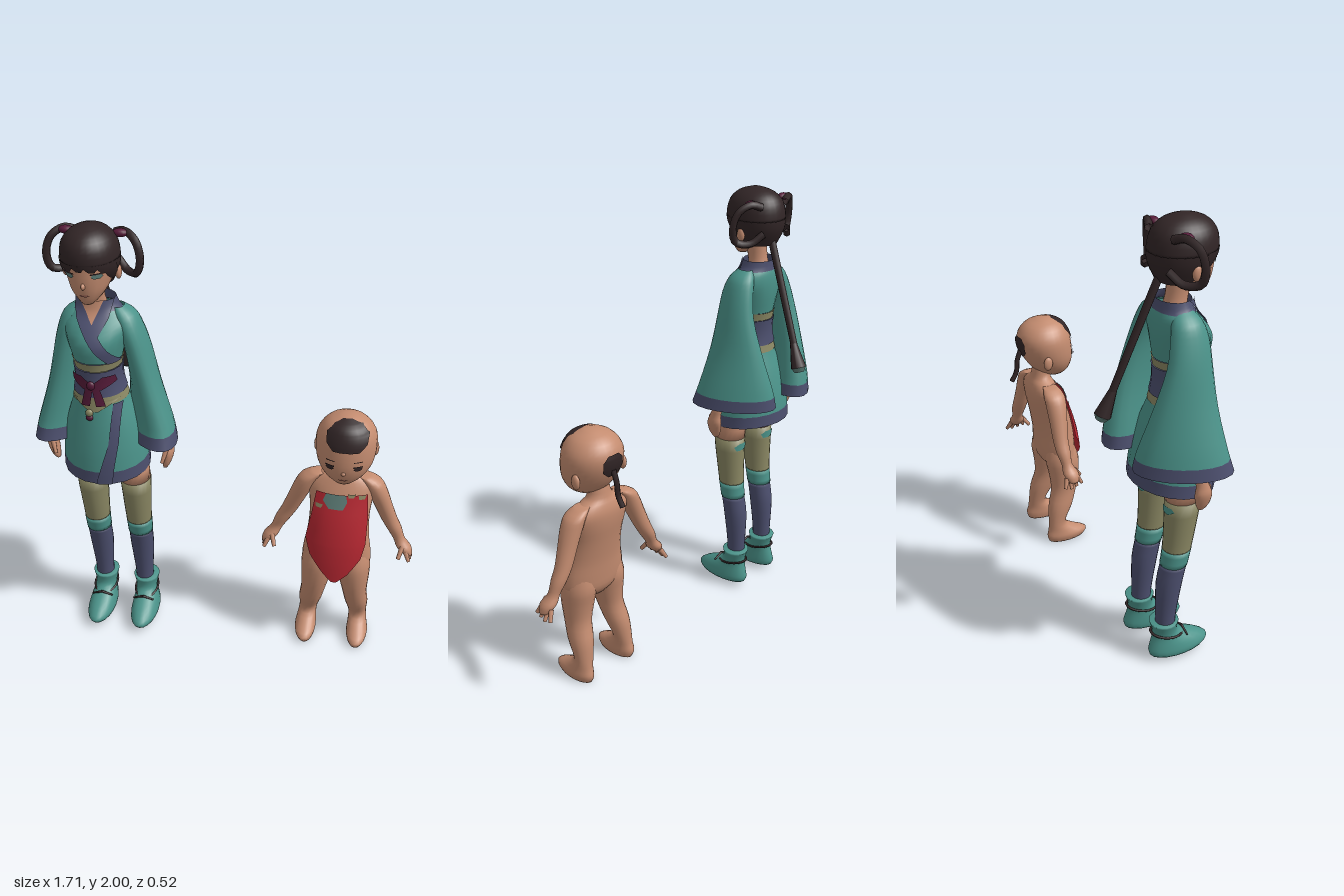
import * as THREE from 'three';

const mat = (name, color, side = THREE.FrontSide) => {
  const m = new THREE.MeshStandardMaterial({ color, side });
  m.name = name;
  return m;
};
const M = {
  skin: mat('skin', 0xc48c70), hair: mat('hair', 0x312526, THREE.DoubleSide),
  teal: mat('teal cloth', 0x4b938a, THREE.DoubleSide), navy: mat('navy trim', 0x4c4f6e, THREE.DoubleSide),
  khaki: mat('khaki cloth', 0x8a8763, THREE.DoubleSide), red: mat('red bib', 0xb62731, THREE.DoubleSide),
  maroon: mat('maroon ribbon', 0x561b39, THREE.DoubleSide), grey: mat('grey green', 0x5d7c76, THREE.DoubleSide),
  lip: mat('lip', 0xa96c5e),
};
const V = (x, y, z) => new THREE.Vector3(x, y, z);

function add(parent, name, geo, material) {
  const mesh = new THREE.Mesh(geo, material);
  mesh.name = name;
  parent.add(mesh);
  return mesh;
}

// A ring is [x, y, z, rx, rz, shear, tilt]; rings run upwards. Catmull-Rom adds rings between.
function smooth(rings, k = 3) {
  const out = [], at = (i, c) => rings[Math.max(0, Math.min(rings.length - 1, i))][c] || 0;
  for (let i = 0; i < rings.length - 1; i++) for (let s = 0; s < k; s++) {
    const t = s / k;
    out.push([0, 1, 2, 3, 4, 5, 6].map(c => {
      const [a, b, d, e] = [at(i - 1, c), at(i, c), at(i + 1, c), at(i + 2, c)];
      return b + 0.5 * t * (d - a + t * (2 * a - 5 * b + 4 * d - e + t * (3 * (b - d) + e - a)));
    }));
  }
  out.push([0, 1, 2, 3, 4, 5, 6].map(c => at(rings.length - 1, c)));
  return out;
}
function ringAt(rings, y) {
  let i = 0;
  while (i < rings.length - 2 && rings[i + 1][1] < y) i++;
  const a = rings[i], b = rings[i + 1];
  const t = Math.max(0, Math.min(1, (y - a[1]) / (b[1] - a[1])));
  return a.map((v, c) => v + (b[c] - v) * t);
}
const slice = (rings, y0, y1) =>
  [ringAt(rings, y0), ...rings.filter(r => r[1] > y0 + 1e-4 && r[1] < y1 - 1e-4), ringAt(rings, y1)];

// Skin over rings, either closed and capped or open over an arc
function loft(rings, { caps = true, a0 = 0, a1 = Math.PI * 2, n = 20, grow = 0 } = {}) {
  const full = a1 - a0 > 6.28, w = full ? n : n + 1, pos = [], idx = [];
  for (const [x, y, z, rx, rz, shear = 0, tilt = 0] of rings) for (let j = 0; j < w; j++) {
    const a = a0 + (a1 - a0) * j / n, dz = (rz + grow) * Math.cos(a);
    pos.push(x + (rx + grow) * Math.sin(a) + shear * dz, y + tilt * Math.cos(a), z + dz);
  }
  const top = rings.length - 1;
  for (let i = 0; i < top; i++) for (let j = 0; j < n; j++) {
    const a = i * w + j, b = i * w + (j + 1) % w;
    idx.push(a, b, b + w, a, b + w, a + w);
  }
  if (caps && full) for (const i of [0, top]) {
    const c = pos.length / 3;
    pos.push(...rings[i].slice(0, 3));
    for (let j = 0; j < n; j++) {
      const a = i * w + j, b = i * w + (j + 1) % n;
      idx.push(c, ...(i ? [a, b] : [b, a]));
    }
  }
  return surface(pos, idx);
}
function surface(pos, idx) {
  const g = new THREE.BufferGeometry();
  g.setAttribute('position', new THREE.Float32BufferAttribute(pos, 3));
  g.setIndex(idx);
  g.computeVertexNormals();
  return g;
}

// Thin plate laid on a lofted surface; rows are [y, dx0, dx1] from top to bottom
function patch(rows, rings, lift = 0.004, sign = 1) {
  const pos = [], idx = [], n = 8, k = 5;
  const count = (rows.length - 1) * k;
  for (let i = 0; i <= count; i++) {
    const q = Math.min(rows.length - 2, Math.floor(i / k)), t = i / k - q;
    const [y, x0, x1] = rows[q].map((v, c) => v + (rows[q + 1][c] - v) * t);
    const r = ringAt(rings, y);
    for (let j = 0; j <= n; j++) {
      const lim = r[3] * 0.985, dx = Math.max(-lim, Math.min(lim, x0 + (x1 - x0) * j / n));
      const c = Math.sqrt(1 - (dx / r[3]) ** 2);
      pos.push(r[0] + dx * (1 + lift / r[3]), y + (r[6] || 0) * c * sign, r[2] + sign * (r[4] * c + lift));
    }
  }
  for (let i = 0; i < count; i++) for (let j = 0; j < n; j++) {
    const a = i * (n + 1) + j, b = a + 1, c = a + n + 1, d = c + 1;
    idx.push(...(sign > 0 ? [a, c, b, b, c, d] : [a, b, c, b, d, c]));
  }
  return surface(pos, idx);
}
function rod(parent, name, a, b, r0, r1, material) {
  const d = b.clone().sub(a);
  const m = add(parent, name, new THREE.CylinderGeometry(r1, r0, d.length(), 8), material);
  m.position.copy(a).addScaledVector(d, 0.5);
  m.quaternion.setFromUnitVectors(V(0, 1, 0), d.normalize());
}
function ball(parent, name, p, sx, sy, sz, material) {
  const m = add(parent, name, new THREE.SphereGeometry(1, 14, 10), material);
  m.position.set(...p);
  m.scale.set(sx, sy, sz);
}
const side = (rings, cx, s) => smooth(rings.map(([x, y, z, rx, rz, sh = 0]) => [cx + s * x, y, z, rx, rz, s * sh, 0]));
const centred = (rings, cx) => smooth(rings.map(([y, z, rx, rz, tilt = 0]) => [cx, y, z, rx, rz, 0, tilt]));
const bands = (parent, rings, list, caps) => list.forEach(([name, y0, y1, m, grow = 0]) =>
  add(parent, name, loft(slice(rings, y0, y1), { caps, grow }), m));

// Eyes, lashes, brows and mouth laid on the face
function face(parent, head, y, ex, w, mouthY, iris) {
  for (const s of [-1, 1]) {
    const x = s * ex;
    add(parent, 'eye', patch([[y + 0.011, x - w * 0.6, x + w * 0.6], [y, x - w, x + w], [y - 0.009, x - w * 0.5, x + w * 0.5]], head), iris);
    add(parent, 'lash', patch([[y + 0.015, x - w, x + w], [y + 0.009, x - w * 1.1, x + w * 1.1]], head, 0.006), M.hair);
    add(parent, 'brow', patch([[y + 0.036, x - w, x + w], [y + 0.032, x - w, x + w]], head), M.hair);
  }
  add(parent, 'mouth', patch([[mouthY + 0.004, -0.012, 0.012], [mouthY, -0.02, 0.02], [mouthY - 0.005, -0.01, 0.01]], head), M.lip);
}

function makeWoman() {
  const g = new THREE.Group(), cx = -0.55;
  g.name = 'woman in robe';
  // Head and neck
  const head = centred([[1.695, 0.15, 0.022, 0.022], [1.715, 0.132, 0.045, 0.052], [1.75, 0.11, 0.073, 0.085], [1.79, 0.09, 0.09, 0.112],
    [1.84, 0.082, 0.102, 0.122], [1.9, 0.08, 0.1, 0.12], [1.96, 0.08, 0.06, 0.07]], cx);
  add(g, 'head', loft(head), M.skin);
  add(g, 'neck', loft(centred([[1.58, 0.05, 0.07, 0.06], [1.64, 0.05, 0.052, 0.048], [1.69, 0.06, 0.043, 0.045], [1.76, 0.07, 0.045, 0.05]], cx)), M.skin);
  ball(g, 'nose', [cx, 1.785, 0.198], 0.009, 0.014, 0.017, M.skin);
  face(g, head, 1.826, 0.054, 0.021, 1.744, M.grey);
  // Hair: cap, sides and back, fringe locks
  const hair = centred([[1.755, 0.045, 0.08, 0.07], [1.82, 0.068, 0.113, 0.126], [1.88, 0.076, 0.121, 0.139], [1.94, 0.078, 0.108, 0.126],
    [1.98, 0.078, 0.07, 0.086], [2.0, 0.078, 0.02, 0.025]], cx);
  add(g, 'hairCap', loft(slice(hair, 1.868, 2.0), { n: 28 }), M.hair);
  add(g, 'hairBack', loft(slice(hair, 1.755, 1.87), { a0: 1.02, a1: 5.263, n: 24 }), M.hair);
  for (const [x0, x1, tip, y] of [[-0.118, -0.08, -0.1, 1.775], [-0.1, -0.03, -0.06, 1.842], [-0.05, 0.02, -0.01, 1.848], [0.0, 0.075, 0.04, 1.845], [0.05, 0.105, 0.085, 1.835], [0.08, 0.118, 0.1, 1.775]])
    add(g, 'fringeLock', patch([[1.875, x0, x1], [y, tip - 0.01, tip + 0.01]], hair, 0.002), M.hair);
  // Looped braids, ribbons, ears
  for (const s of [-1, 1]) {
    const pts = [[0.08, 1.935, -0.02], [0.125, 1.95, 0.0], [0.175, 1.92, 0.03], [0.195, 1.85, 0.045], [0.178, 1.79, 0.04], [0.13, 1.78, 0.0], [0.08, 1.82, -0.035]];
    const curve = new THREE.CatmullRomCurve3(pts.map(p => V(cx + s * p[0], p[1], p[2])));
    add(g, 'hairLoop', new THREE.TubeGeometry(curve, 24, 0.017, 6), M.hair);
    ball(g, 'hairRibbon', [cx + s * 0.112, 1.947, 0.018], 0.032, 0.017, 0.022, M.maroon);
    ball(g, 'ear', [cx + s * 0.11, 1.805, 0.07], 0.014, 0.032, 0.02, M.skin);
  }
  // Long tail of hair
  rod(g, 'ponytail', V(cx, 1.8, -0.01), V(-0.52, 1.33, -0.195), 0.017, 0.016, M.hair);
  rod(g, 'ponytailEnd', V(-0.52, 1.34, -0.19), V(-0.512, 1.235, -0.232), 0.016, 0.036, M.hair);
  rod(g, 'ponytailTip', V(-0.512, 1.235, -0.232), V(-0.51, 1.215, -0.24), 0.036, 0.022, M.grey);
  // Robe body with collar, sash and hem
  const robe = centred([[0.888, 0.07, 0.195, 0.176, -0.018], [1.0, 0.073, 0.186, 0.168, -0.015], [1.13, 0.08, 0.16, 0.145, -0.01], [1.24, 0.088, 0.122, 0.12],
    [1.33, 0.093, 0.098, 0.108], [1.41, 0.092, 0.1, 0.11], [1.51, 0.09, 0.123, 0.122], [1.575, 0.07, 0.142, 0.105], [1.62, 0.052, 0.125, 0.083], [1.65, 0.048, 0.093, 0.071], [1.685, 0.046, 0.078, 0.066]], -0.545);
  bands(g, robe, [['hemTrim', 0.888, 0.945, M.navy], ['skirt', 0.945, 1.25, M.teal], ['lowerSash', 1.25, 1.29, M.khaki, 0.003],
    ['sash', 1.285, 1.405, M.navy, 0.007], ['upperSash', 1.405, 1.44, M.khaki, 0.003], ['bodice', 1.44, 1.64, M.teal], ['collar', 1.64, 1.685, M.navy, 0.002]], false);
  add(g, 'neckOpening', patch([[1.688, -0.058, 0.05], [1.64, -0.04, 0.035], [1.575, -0.01, 0.015]], robe, 0.004), M.skin);
  add(g, 'underLapel', patch([[1.688, 0.042, 0.076], [1.62, 0.012, 0.065], [1.555, -0.015, 0.03]], robe, 0.006), M.navy);
  add(g, 'overLapel', patch([[1.688, -0.078, -0.048], [1.62, -0.065, -0.012], [1.55, -0.015, 0.04], [1.44, 0.065, 0.11]], robe, 0.008), M.navy);
  add(g, 'skirtEdge', patch([[1.25, 0.075, 0.108], [1.08, 0.055, 0.095], [0.94, 0.01, 0.07], [0.89, -0.005, 0.065]], robe, 0.005), M.navy);
  add(g, 'sashPoint', patch([[1.27, -0.1, 0.1], [1.235, -0.04, 0.04], [1.22, -0.015, 0.015]], robe, 0.005), M.khaki);
  // Bow and pendant
  for (const s of [-1, 1]) {
    add(g, 'bowLoop', patch([[1.385, s * 0.06 - 0.02, s * 0.06 + 0.02], [1.355, s * 0.045 - 0.04, s * 0.045 + 0.04], [1.325, s * 0.015 - 0.02, s * 0.015 + 0.02]], robe, 0.013), M.maroon);
    add(g, 'bowTail', patch([[1.345, s * 0.01 - 0.014, s * 0.01 + 0.014], [1.25, s * 0.03 - 0.018, s * 0.03 + 0.018]], robe, 0.013), M.maroon);
  }
  ball(g, 'bowKnot', [cx, 1.345, 0.213], 0.018, 0.02, 0.012, M.maroon);
  ball(g, 'pendant', [cx - 0.015, 1.215, 0.217], 0.017, 0.017, 0.012, M.khaki);
  ball(g, 'tassel', [cx - 0.015, 1.192, 0.218], 0.016, 0.014, 0.011, M.maroon);
  for (const s of [-1, 1]) {
    // Wide sleeve swept inward at the back, forearm and hand
    const sleeve = side([[0.185, 1.03, 0.01, 0.115, 0.18, 0.38], [0.182, 1.12, 0.005, 0.1, 0.16, 0.36], [0.17, 1.29, 0.018, 0.07, 0.122, 0.22], [0.153, 1.45, 0.04, 0.056, 0.093, 0.05],
      [0.13, 1.55, 0.05, 0.052, 0.08], [0.105, 1.615, 0.05, 0.048, 0.062], [0.08, 1.65, 0.05, 0.025, 0.035]], -0.535, s);
    bands(g, sleeve, [['cuff', 1.03, 1.085, M.navy], ['sleeve', 1.085, 1.65, M.teal]], false);
    add(g, 'hand', loft(side([[0.25, 0.87, 0.06, 0.01, 0.014], [0.258, 0.9, 0.06, 0.019, 0.03], [0.268, 0.95, 0.055, 0.024, 0.038], [0.266, 0.99, 0.05, 0.02, 0.028],
      [0.252, 1.05, 0.04, 0.024, 0.026], [0.195, 1.25, 0.04, 0.03, 0.03]], -0.533, s)), M.skin);
    rod(g, 'thumb', V(-0.533 + s * 0.262, 0.975, 0.08), V(-0.533 + s * 0.245, 0.915, 0.105), 0.012, 0.008, M.skin);
    // Leg with stocking bands
    const leg = side([[0.1, 0.15, 0.03, 0.042, 0.043], [0.1, 0.24, 0.03, 0.043, 0.046], [0.1, 0.4, 0.04, 0.054, 0.057], [0.101, 0.52, 0.062, 0.055, 0.058],
      [0.1, 0.62, 0.075, 0.058, 0.064], [0.1, 0.82, 0.088, 0.068, 0.077], [0.085, 0.94, 0.085, 0.068, 0.08]], -0.517, s);
    bands(g, leg, [['sock', 0.15, 0.5, M.navy], ['sockCuff', 0.5, 0.575, M.teal, 0.003], ['stocking', 0.575, 0.82, M.khaki, 0.002], ['thigh', 0.82, 0.94, M.skin]], true);
    add(g, 'stockingMark', patch([[0.8, -0.03, 0.02], [0.785, -0.04, 0.04], [0.765, -0.015, 0.03]], leg, 0.005, -1), M.teal);
    // Soft shoe with flared collar and lace
    add(g, 'shoe', loft(side([[0.108, 0.028, 0.1, 0.062, 0.14], [0.108, 0.05, 0.1, 0.066, 0.148], [0.106, 0.085, 0.08, 0.06, 0.12], [0.103, 0.125, 0.043, 0.05, 0.071],
      [0.102, 0.155, 0.03, 0.052, 0.057], [0.102, 0.2, 0.025, 0.062, 0.066]], -0.511, s)), M.teal);
    const lace = add(g, 'lace', new THREE.TorusGeometry(0.055, 0.005, 6, 20), M.hair);
    lace.position.set(-0.511 + s * 0.103, 0.13, 0.04);
    lace.rotation.x = Math.PI / 2 + 0.2;
    lace.scale.y = 1.38;
    for (const t of [-1, 1]) rod(g, 'laceEnd', V(-0.511 + s * 0.103, 0.128, 0.122), V(-0.511 + s * 0.103 + t * 0.05, 0.11, 0.12), 0.006, 0.004, M.hair);
  }
  return g;
}

function makeToddler() {
  const g = new THREE.Group(), cx = 0.51;
  g.name = 'toddler in bib';
  // Head, nose, ears and tufts of hair
  const head = centred([[0.91, 0.075, 0.045, 0.05], [0.945, 0.06, 0.09, 0.088], [1.0, 0.045, 0.122, 0.117], [1.07, 0.028, 0.133, 0.13], [1.13, 0.022, 0.124, 0.123],
    [1.18, 0.025, 0.085, 0.088], [1.205, 0.028, 0.025, 0.025]], 0.517);
  add(g, 'head', loft(head, { n: 28 }), M.skin);
  ball(g, 'nose', [0.517, 0.985, 0.157], 0.011, 0.01, 0.01, M.skin);
  face(g, head, 1.012, 0.058, 0.018, 0.95, M.hair);
  add(g, 'frontTuft', patch([[1.204, -0.015, 0.015], [1.19, -0.05, 0.06], [1.16, -0.08, 0.092], [1.12, -0.078, 0.088], [1.09, -0.05, 0.06]], head, 0.005), M.hair);
  add(g, 'backTuft', patch([[1.13, -0.025, 0.025], [1.105, -0.05, 0.05], [1.06, -0.05, 0.05], [1.03, -0.02, 0.02]], head, 0.006, -1), M.hair);
  const tail = new THREE.CatmullRomCurve3([V(0.517, 1.06, -0.1), V(0.517, 1.01, -0.118), V(0.517, 0.95, -0.125), V(0.517, 0.905, -0.15)]);
  add(g, 'pigtail', new THREE.TubeGeometry(tail, 12, 0.012, 7), M.hair);
  // Torso and neck
  add(g, 'torso', loft(centred([[0.4, 0.07, 0.06, 0.05], [0.45, 0.07, 0.148, 0.085], [0.52, 0.065, 0.153, 0.09], [0.6, 0.06, 0.14, 0.092], [0.7, 0.042, 0.134, 0.09],
    [0.78, 0.02, 0.142, 0.083], [0.84, 0.005, 0.145, 0.072], [0.88, 0, 0.11, 0.058], [0.91, 0, 0.058, 0.046], [0.97, 0.01, 0.05, 0.045]], cx), { n: 28 }), M.skin);
  // Bib with a small plain patch and corner trims
  const bib = centred([[0.4, 0.05, 0.18, 0.138], [0.5, 0.055, 0.172, 0.128], [0.6, 0.055, 0.162, 0.114], [0.7, 0.044, 0.15, 0.098], [0.78, 0.022, 0.152, 0.09], [0.84, 0.008, 0.155, 0.082]], cx);
  add(g, 'bib', patch([[0.83, -0.105, 0.115], [0.72, -0.12, 0.125], [0.6, -0.14, 0.125], [0.53, -0.115, 0.11], [0.45, -0.05, 0.055], [0.41, -0.01, 0.01]], bib, 0.004), M.red);
  add(g, 'bibPatch', patch([[0.832, -0.06, 0.025], [0.8, -0.072, 0.03], [0.768, -0.045, 0.015]], bib, 0.008), M.grey);
  for (const [x, y] of [[-0.09, 0.775], [0.045, 0.832], [0.09, 0.825]])
    add(g, 'bibTrim', patch([[y + 0.005, x - 0.014, x + 0.02], [y - 0.012, x - 0.01, x + 0.012]], bib, 0.007), M.khaki);
  for (const s of [-1, 1]) {
    ball(g, 'ear', [0.517 + s * 0.128, 1.02, -0.015], 0.014, 0.034, 0.023, M.skin);
    // Arm, palm and fingers
    add(g, 'arm', loft(side([[0.33, 0.475, 0.005, 0.02, 0.024], [0.308, 0.51, 0, 0.034, 0.038], [0.282, 0.55, -0.008, 0.027, 0.026], [0.255, 0.605, -0.012, 0.035, 0.034], [0.226, 0.66, -0.012, 0.038, 0.037],
      [0.193, 0.74, -0.005, 0.042, 0.043], [0.164, 0.81, 0, 0.046, 0.05], [0.139, 0.86, 0, 0.043, 0.05], [0.1, 0.888, 0, 0.03, 0.035]], 0.505, s)), M.skin);
    for (let i = 0; i < 4; i++) {
      const z = (i - 1.5) * 0.018;
      rod(g, 'finger', V(0.505 + s * 0.318, 0.495, z), V(0.505 + s * (0.345 - 0.005 * Math.abs(i - 1)), 0.445 + 0.006 * Math.abs(i - 1), z * 1.7), 0.012, 0.008, M.skin);
    }
    rod(g, 'thumb', V(0.505 + s * 0.3, 0.52, 0.025), V(0.505 + s * 0.285, 0.475, 0.06), 0.012, 0.009, M.skin);
    // Leg and foot
    add(g, 'leg', loft(side([[0.122, 0, 0.07, 0.043, 0.1], [0.124, 0.03, 0.07, 0.05, 0.11], [0.122, 0.065, 0.042, 0.045, 0.073], [0.118, 0.11, 0.018, 0.042, 0.044], [0.108, 0.2, 0.043, 0.054, 0.062],
      [0.095, 0.29, 0.07, 0.058, 0.066], [0.086, 0.38, 0.075, 0.071, 0.078], [0.08, 0.46, 0.07, 0.077, 0.086], [0.072, 0.53, 0.065, 0.068, 0.07]], cx, s)), M.skin);
  }
  return g;
}

export function createModel() {
  const model = new THREE.Group();
  model.name = 'woman and toddler';
  model.add(makeWoman(), makeToddler());
  return model;
}
